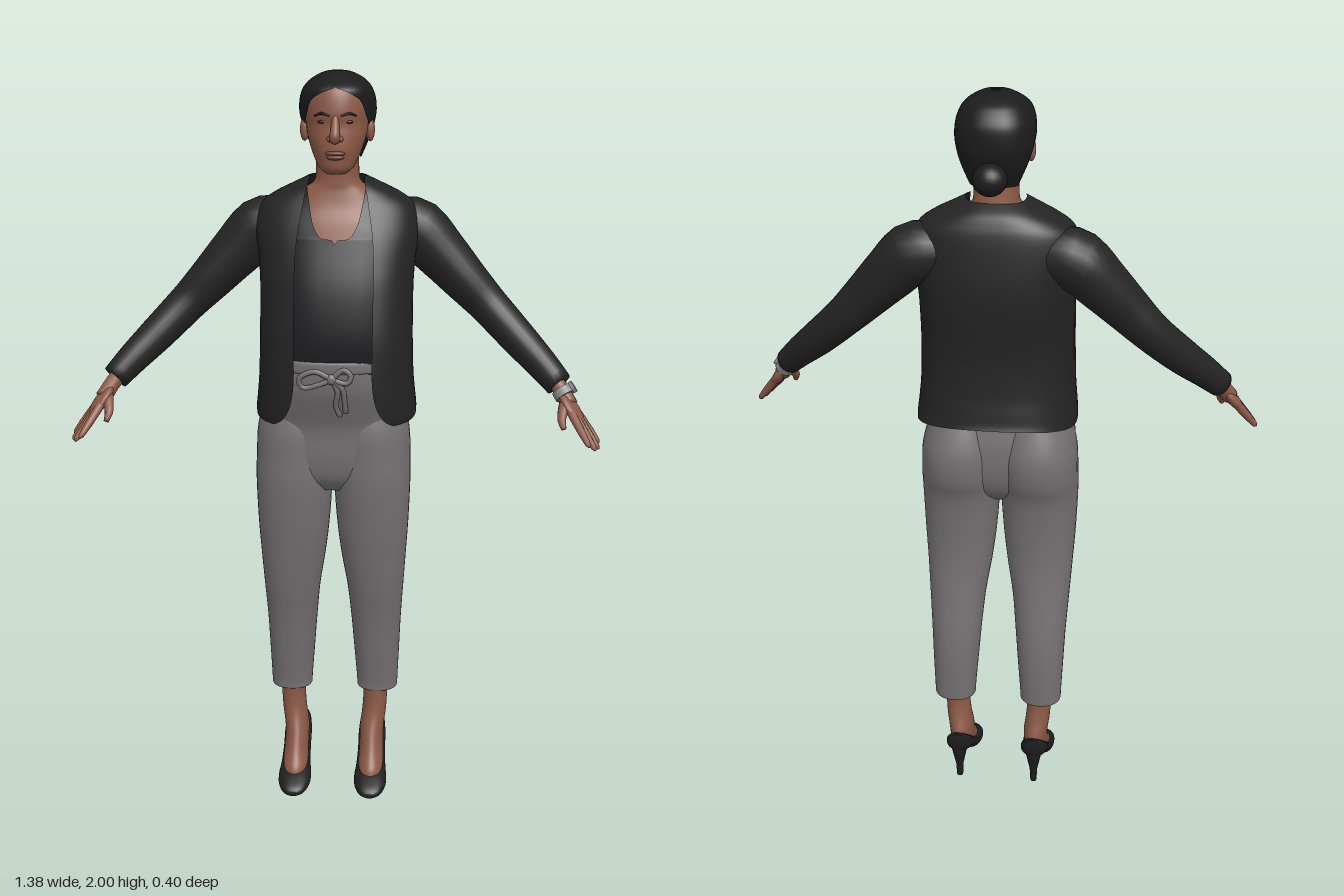
import * as THREE from 'three';
import { mergeVertices } from 'three/addons/utils/BufferGeometryUtils.js';

const mat = (name, color, side = THREE.FrontSide) => {
  const m = new THREE.MeshStandardMaterial({ color, side });
  m.name = name;
  return m;
};
const V = (x, y, z) => new THREE.Vector3(x, y, z);

// Smooth skin over rows of points
function grid(rows) {
  const pos = [], idx = [], n = rows[0].length;
  rows.forEach(r => r.forEach(p => pos.push(p.x, p.y, p.z)));
  for (let i = 0; i < rows.length - 1; i++) for (let j = 0; j < n - 1; j++) {
    const a = i * n + j, b = a + n;
    idx.push(a, b, a + 1, b, b + 1, a + 1);
  }
  let g = new THREE.BufferGeometry();
  g.setAttribute('position', new THREE.Float32BufferAttribute(pos, 3));
  g.setIndex(idx);
  g = mergeVertices(g, 1e-5);
  g.computeVertexNormals();
  return g;
}

// Catmull-Rom refinement of number rows
function refine(rows, k = 4) {
  const out = [], at = i => rows[Math.max(0, Math.min(rows.length - 1, i))];
  for (let i = 0; i < rows.length - 1; i++) for (let s = 0; s < k; s++) {
    const t = s / k;
    out.push(at(i).map((b, c) => {
      const a = at(i - 1)[c], d = at(i + 1)[c], e = at(i + 2)[c];
      return b + 0.5 * t * (d - a + t * (2 * a - 5 * b + 4 * d - e + t * (3 * (b - d) + e - a)));
    }));
  }
  out.push(rows[rows.length - 1]);
  return out;
}

// Horizontal sections from top to bottom: [y, half width, front z, back z, half opening, centre x]
function wrap(rows, { cx = 0, p = 0.85, cap = true, hem = 0, n = 40 } = {}) {
  const full = refine(rows.map(([y, w, f, b, o = 0, c = 0]) => [y, w, f, b, o, c]));
  const lines = full.map(([y, w, f, b, o, c]) => {
    const t0 = Math.asin(Math.min(1, Math.max(0, o / w)) ** (1 / p));
    const pw = v => Math.sign(v) * Math.abs(v) ** p;
    return Array.from({ length: n + 1 }, (_, j) => {
      const t = t0 + (2 * Math.PI - 2 * t0) * j / n;
      const sn = j === n && t0 === 0 ? 0 : Math.sin(t);
      const lift = hem * Math.max(0, (1.25 - y) / 0.14) * ((1 - Math.cos(t)) / 2) ** 2;
      return V(cx + c + w * pw(sn), y + lift, (f + b) / 2 + (f - b) / 2 * pw(Math.cos(t)));
    });
  });
  if (cap) {
    const mid = ([y, , f, b, , c]) => Array.from({ length: n + 1 }, () => V(cx + c, y, (f + b) / 2));
    lines.unshift(mid(full[0]));
    lines.push(mid(full[full.length - 1]));
  }
  return grid(lines);
}

// Round limb through points [x, y, z, radius]
function limb(pts, n = 14) {
  const curve = new THREE.CatmullRomCurve3(pts.map(q => V(q[0], q[1], q[2])));
  const seg = (pts.length - 1) * 4, fr = curve.computeFrenetFrames(seg), lines = [];
  for (let i = 0; i <= seg; i++) {
    const u = i / seg, c = curve.getPointAt(u), k = curve.getUtoTmapping(u) * (pts.length - 1);
    const a = Math.min(pts.length - 2, Math.floor(k));
    const r = THREE.MathUtils.lerp(pts[a][3], pts[a + 1][3], k - a);
    const ring = s => Array.from({ length: n + 1 }, (_, j) => {
      const t = 2 * Math.PI * (j % n) / n;
      return c.clone().addScaledVector(fr.normals[i], s * Math.cos(t)).addScaledVector(fr.binormals[i], -s * Math.sin(t));
    });
    if (i === 0) lines.push(ring(0));
    lines.push(ring(r));
    if (i === seg) lines.push(ring(0));
  }
  return grid(lines);
}

const ball = (x, y, z, a, b, c) => new THREE.SphereGeometry(1, 20, 14).scale(a, b, c).translate(x, y, z);

export function createModel() {
  const skin = mat('skin', 0x8c5a47), lip = mat('lips', 0x70433a), hair = mat('hair', 0x1d1c1c, THREE.DoubleSide);
  const jacket = mat('jacket cloth', 0x242424, THREE.DoubleSide), shirt = mat('shirt cloth', 0x202022, THREE.DoubleSide);
  const pants = mat('trouser cloth', 0x777274), shoe = mat('shoe leather', 0x1e1e1f);
  const metal = mat('watch metal', 0x8d8d8d), eye = mat('eye dark', 0x2a1a16);
  const model = new THREE.Group();
  const add = (name, geo, m, parent = model) => {
    const mesh = new THREE.Mesh(geo, m);
    mesh.name = name;
    parent.add(mesh);
    return mesh;
  };

  // Clothes of the upper body, with neck and chest inside
  add('neckAndChest', wrap([[1.8, .056, .035, -.085], [1.75, .056, .03, -.09], [1.72, .062, .03, -.095],
    [1.7, .09, .031, -.1], [1.66, .135, .042, -.11], [1.62, .16, .062, -.12], [1.55, .16, .085, -.12]]), skin);
  add('shirt', wrap([[1.71, .1, .035, -.1, .075], [1.66, .15, .052, -.12, .066], [1.62, .17, .076, -.13, .056],
    [1.59, .175, .09, -.135, .036], [1.575, .175, .096, -.138, 0], [1.46, .175, .132, -.14, 0],
    [1.34, .172, .147, -.13, 0], [1.26, .168, .136, -.12, 0], [1.18, .17, .115, -.12, 0]], { cap: false, p: .8 }), shirt);
  add('jacketBody', wrap([[1.735, .075, .03, -.095, .07], [1.715, .115, .045, -.125, .074], [1.69, .165, .055, -.14, .08],
    [1.66, .2, .07, -.15, .085], [1.6, .212, .1, -.16, .095], [1.53, .205, .13, -.167, .1], [1.46, .2, .155, -.165, .1],
    [1.34, .2, .182, -.152, .1], [1.235, .203, .188, -.157, .1], [1.17, .208, .185, -.165, .11],
    [1.13, .212, .18, -.17, .13], [1.11, .212, .175, -.175, .155]], { cap: false, p: .8, hem: .045, n: 56 }), jacket);

  // Trousers: hips, waistband and drawstring bow
  const mid = -.011;
  add('hips', wrap([[1.27, .165, .141, -.12], [1.2, .178, .134, -.125], [1.14, .19, .112, -.135], [1.08, .2, .09, -.145],
    [1, .203, .084, -.14], [.94, .18, .07, -.115], [.9, .09, .04, -.07]], { cx: mid }), pants);
  add('waistband', wrap([[1.278, .16, .14, -.11], [1.274, .168, .146, -.12], [1.25, .172, .145, -.122], [1.246, .17, .138, -.12]],
    { cx: mid }), pants);
  const bow = new THREE.Group();
  bow.name = 'drawstringBow';
  model.add(bow);
  add('bowKnot', ball(-.005, 1.235, .145, .014, .014, .01), pants, bow);
  [[[-.005, 1.235], [-.05, 1.255], [-.09, 1.235], [-.08, 1.212], [-.04, 1.22], [-.005, 1.235]],
    [[-.005, 1.235], [.025, 1.26], [.045, 1.245], [.035, 1.225], [-.005, 1.235]],
    [[-.005, 1.235], [.01, 1.2], [.005, 1.16], [.015, 1.13]],
    [[-.005, 1.235], [.022, 1.21], [.028, 1.17], [.03, 1.14]]].forEach((line, i) =>
    add('bowString' + (i + 1), limb(line.map(([x, y]) => [x, y, .145 - Math.max(0, 1.22 - y) * .35, .007]), 8), pants, bow));

  // Head and face
  const head = new THREE.Group();
  head.name = 'head';
  model.add(head);
  add('face', wrap([[1.98, .04, .02, -.08], [1.965, .062, .055, -.1], [1.94, .078, .069, -.12], [1.9, .082, .076, -.125],
    [1.87, .08, .073, -.12], [1.84, .075, .077, -.1], [1.81, .066, .079, -.08], [1.785, .056, .075, -.05],
    [1.76, .042, .07, -.02], [1.747, .024, .055, .0]], { p: .95 }), skin, head);
  add('noseBridge', limb([[0, 1.895, .066, .009], [0, 1.865, .077, .011], [0, 1.842, .087, .014], [0, 1.834, .08, .012]]), skin, head);
  add('upperLip', ball(0, 1.802, .075, .026, .006, .011), lip, head);
  add('lowerLip', ball(0, 1.792, .074, .023, .007, .011), lip, head);
  add('hairCap', wrap([[2, .012, -.025, -.045], [1.995, .037, .01, -.08], [1.98, .066, .04, -.115], [1.964, .083, .066, -.132],
    [1.95, .091, .074, -.142, .035], [1.93, .097, .07, -.15, .062], [1.9, .099, .058, -.152, .073], [1.87, .094, .035, -.15, .08],
    [1.84, .085, .005, -.14, .08], [1.81, .073, -.02, -.125, .068], [1.78, .06, -.04, -.108, .055]], { cap: false }), hair, head);
  add('hairCrown', ball(0, 1.988, -.035, .03, .0115, .03), hair, head);
  add('hairBun', ball(0, 1.815, -.158, .043, .04, .041), hair, head);

  for (const [side, s] of [['left', 1], ['right', -1]]) {
    const m = pts => pts.map(([x, ...rest]) => [s * x, ...rest]);
    // Paired face parts
    add(side + 'Nostril', ball(s * .012, 1.838, .077, .009, .008, .011), skin, head);
    add(side + 'Eye', ball(s * .032, 1.879, .064, .013, .0045, .005), eye, head);
    add(side + 'Eyebrow', limb(m([[.014, 1.894, .073, .003], [.034, 1.9, .068, .0035], [.053, 1.893, .054, .002]]), 8), eye, head);
    add(side + 'Ear', ball(s * .084, 1.853, -.02, .012, .03, .018), skin, head);

    // Arm
    const arm = new THREE.Group();
    arm.name = side + 'Arm';
    model.add(arm);
    add(side + 'Sleeve', limb(m([[.12, 1.605, -.07, .065], [.2, 1.595, -.075, .08], [.27, 1.53, -.067, .07], [.33, 1.467, -.056, .061],
      [.395, 1.4, -.045, .052], [.48, 1.315, 0, .047], [.54, 1.257, .04, .041], [.582, 1.213, .07, .036]]), 22), jacket, arm);
    add(side + 'Wrist', limb(m([[.565, 1.23, .06, .022], [.59, 1.197, .08, .021], [.61, 1.165, .1, .022]])), skin, arm);

    // Hand: palm along f, fingers spread along w
    const f = V(s * .5, -.725, .475).normalize(), w = V(-s * .45, .25, .86).normalize();
    w.addScaledVector(f, -w.dot(f)).normalize();
    const c = V(s * .615, 1.158, .105);
    const basis = new THREE.Matrix4().makeBasis(f, w, f.clone().cross(w)).setPosition(c);
    add(side + 'Palm', ball(0, 0, 0, .052, .037, .016).applyMatrix4(basis), skin, arm);
    [.072, .09, .095, .085].forEach((len, i) => {
      const o = -.027 + .018 * i;
      const at = (d, k, r) => [...c.clone().addScaledVector(f, d).addScaledVector(w, o * k).toArray(), r];
      add(side + 'Finger' + (i + 1), limb([at(0, .8, .011), at(.035, 1, .0115), at(.035 + len / 2, 1.3, .01),
        at(.03 + len, 1.5, .007), at(.035 + len, 1.5, .003)], 10), skin, arm);
    });
    add(side + 'Thumb', limb(m([[.6, 1.18, .095, .015], [.592, 1.16, .125, .014], [.587, 1.138, .148, .011],
      [.592, 1.118, .162, .007]]), 10), skin, arm);

    // Trouser leg
    add(side + 'TrouserLeg', wrap([[1.16, .1, .08, .07, -.14], [1.07, .103, .101, .088, -.171], [.99, .105, .104, .088, -.166],
      [.92, .106, .104, .086, -.14], [.8, .108, .098, .07, -.124], [.7, .111, .089, .052, -.121], [.6, .116, .078, .032, -.13],
      [.5, .118, .07, .008, -.142], [.4, .12, .064, -.01, -.145], [.3, .122, .058, -.028, -.14], [.278, .122, .057, -.03, -.138],
      [.274, .122, .05, -.036, -.13]].map(([y, x, hw, zf, zb]) => [y, hw, zf, zb, 0, s * x]), { cx: mid, p: .92 }), pants);

    // Foot in a high-heeled shoe
    const foot = new THREE.Group();
    foot.name = side + 'Foot';
    foot.position.x = mid + s * .108;
    model.add(foot);
    add(side + 'Ankle', wrap([[.32, .037, -.03, -.118, 0, s * .01], [.25, .034, -.032, -.112, 0, s * .009], [.2, .034, -.026, -.12, 0, s * .006],
      [.15, .034, -.005, -.135], [.1, .034, .022, -.115], [.065, .035, .048, -.06], [.045, .03, .055, -.01]], { p: 1 }), skin, foot);
    add(side + 'Shoe', wrap([[.102, .012, -.005, -.018], [.09, .03, -.002, -.03], [.06, .043, -.001, -.046], [.025, .046, -.002, -.06],
      [-.015, .042, -.017, -.075], [-.06, .039, -.052, -.104], [-.1, .039, -.082, -.134], [-.138, .034, -.1, -.162],
      [-.156, .02, -.12, -.168]]).rotateX(Math.PI / 2), shoe, foot);
    add(side + 'Heel', limb([[0, .125, -.125, .027], [0, .09, -.126, .02], [0, .045, -.122, .011], [0, .001, -.119, .009]]), shoe, foot);
  }

  // Watch on the left wrist
  const up = V(0, 1, 0), dir = V(.5, -.725, .475).normalize();
  const band = add('watchBand', new THREE.CylinderGeometry(.028, .027, .022, 24), metal);
  band.position.set(.594, 1.194, .083);
  band.quaternion.setFromUnitVectors(up, dir);
  const dial = add('watchDial', new THREE.CylinderGeometry(.016, .016, .009, 24), metal);
  const out = V(.82, .57, 0).normalize();
  dial.position.copy(band.position).addScaledVector(out, .028);
  dial.quaternion.setFromUnitVectors(up, out);
  return model;
}
